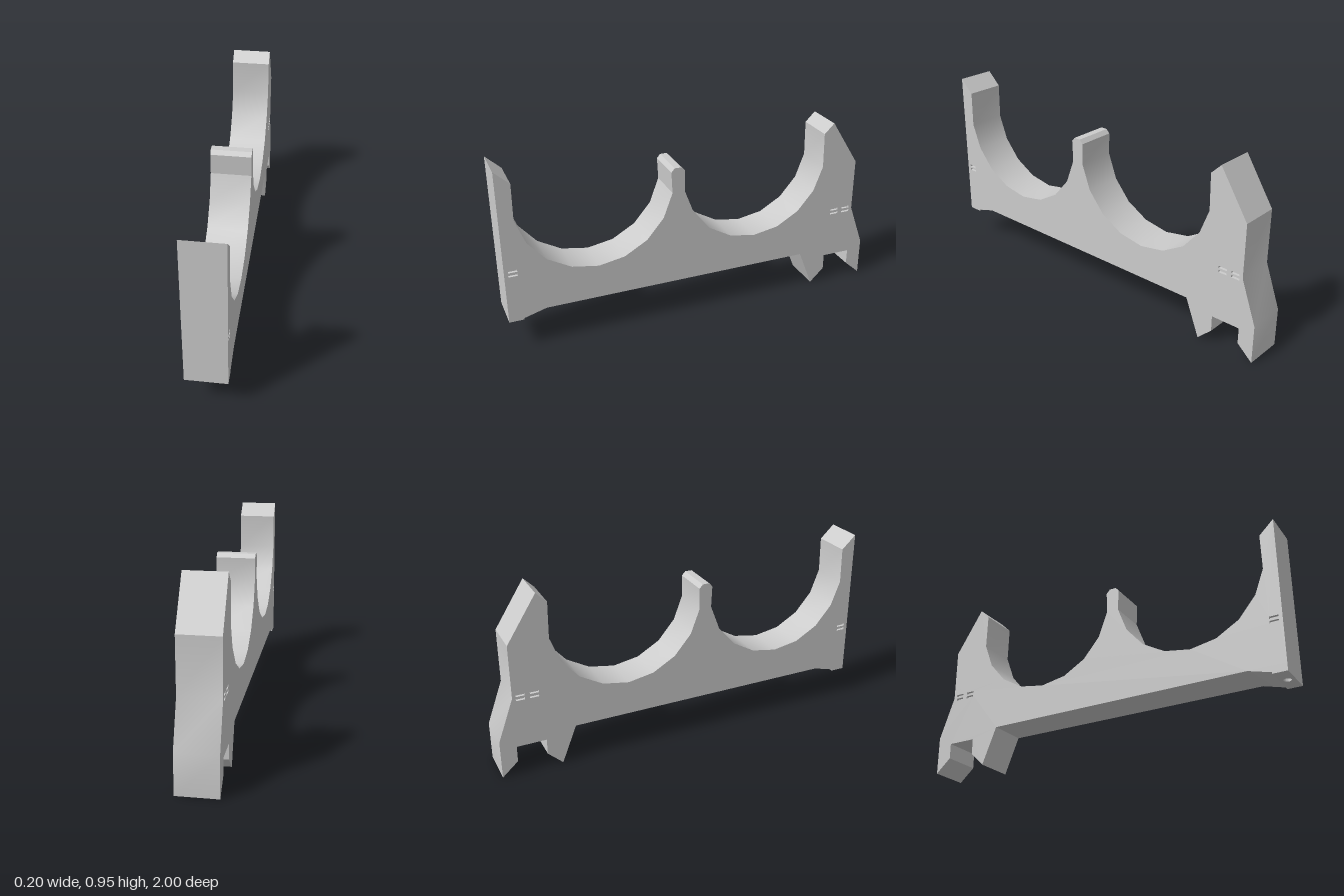
import * as THREE from 'three';
import { toCreasedNormals } from 'three/addons/utils/BufferGeometryUtils.js';

const HALF = 0.101; // half thickness of the plate
const FLOOR = 0.195; // underside of the main beam
const FOOT = 0.155;

// Faceted round saddle, from its front rim to its back rim, as [z, y]
function saddle(z) {
  const pts = [];
  for (let i = 4; i >= -4; i--) {
    const a = THREE.MathUtils.degToRad(i * 19.8);
    pts.push([z + 0.402 * Math.sin(a), 0.775 - 0.402 * Math.cos(a)]);
  }
  return pts;
}

const toShape = pts => new THREE.Shape(pts.map(([a, b]) => new THREE.Vector2(a, b)));

export function createModel() {
  const group = new THREE.Group();
  const material = new THREE.MeshStandardMaterial({ color: 0xcccccc });
  const add = (name, geometry) => {
    const mesh = new THREE.Mesh(geometry, material);
    mesh.name = name;
    group.add(mesh);
    return mesh;
  };

  // Side outline of the cradle: front post, two saddles, centre post, hooked back post
  const outline = toShape([
    [1, FLOOR], [1, 0.955], [0.925, 0.885],
    ...saddle(0.533),
    [0.143, 0.81], [0.126, 0.83], [0.09, 0.83], [0.071, 0.81],
    ...saddle(-0.322),
    [-0.713, 0.885], [-0.766, 0.937], [-0.918, 0.7], [-0.918, 0.423], [-1, 0.2],
    [-1, 0], [-0.918, 0.073], [-0.918, FOOT], [-0.766, FOOT], [-0.766, 0.073], [-0.69, 0],
    [-0.612, FLOOR], [0.81, FLOOR], [0.925, 0.163], [0.925, FLOOR],
  ]);

  // Pairs of narrow slots in both sides
  const slots = [];
  for (const z of [0.958, -0.808, -0.878]) for (const y of [0.434, 0.412]) slots.push([z, y]);
  const w = 0.045, h = 0.012;
  for (const [z, y] of slots) {
    outline.holes.push(new THREE.Path([
      [z - w / 2, y - h / 2], [z - w / 2, y + h / 2], [z + w / 2, y + h / 2], [z + w / 2, y - h / 2],
    ].map(p => new THREE.Vector2(...p))));
  }
  const body = new THREE.ExtrudeGeometry(outline, { depth: 2 * HALF, bevelEnabled: false });
  body.translate(0, 0, -HALF).rotateY(-Math.PI / 2);
  add('cradleBody', toCreasedNormals(body, 0.4));

  // Solid core that closes each slot a little way in
  for (const [z, y] of slots) {
    add('slotFloor', new THREE.BoxGeometry(2 * HALF - 0.03, h, w)).position.set(0, y, z);
  }

  // Front foot with a blind round hole in its underside
  const foot = toShape([[-HALF, 0.925], [HALF, 0.925], [HALF, 1], [-HALF, 1]]);
  const hole = new THREE.Path();
  hole.absarc(0, 0.962, 0.019, 0, Math.PI * 2, true);
  foot.holes.push(hole);
  const footGeometry = new THREE.ExtrudeGeometry(foot, {
    depth: FLOOR - FOOT, bevelEnabled: false, curveSegments: 16,
  });
  footGeometry.rotateX(Math.PI / 2).translate(0, FLOOR, 0);
  add('frontFoot', toCreasedNormals(footGeometry, 0.5));

  return group;
}
